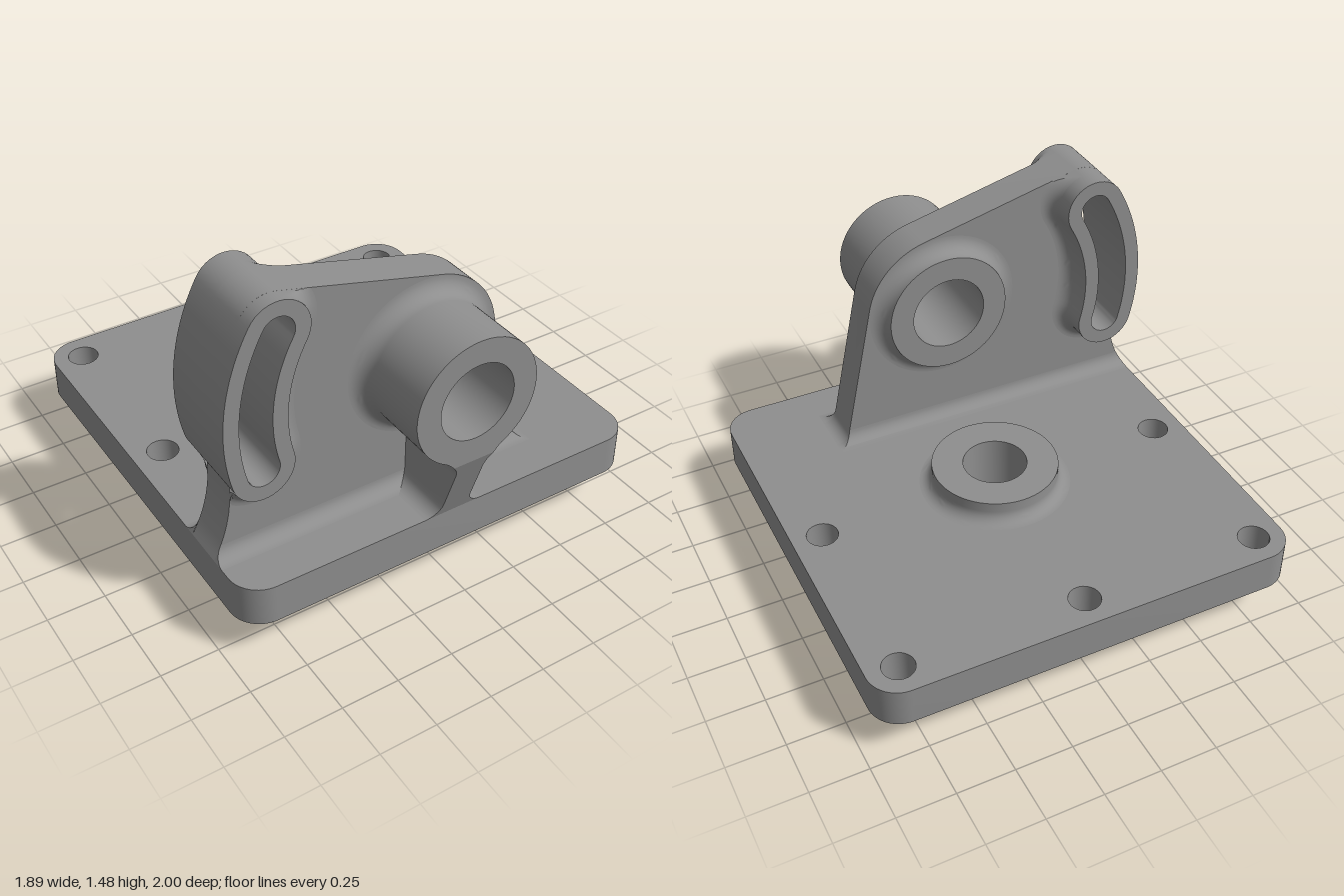
import * as THREE from 'three';
import { toCreasedNormals } from 'three/addons/utils/BufferGeometryUtils.js';

const rad = THREE.MathUtils.degToRad;
const V = (x, y) => new THREE.Vector2(x, y);
const material = new THREE.MeshStandardMaterial({ color: 0x8e8e8e, side: THREE.DoubleSide });

// Points along an arc, angles in degrees
function arc(cx, cy, r, a0, a1, n = 12) {
  return Array.from({ length: n + 1 }, (_, i) => {
    const a = rad(a0 + ((a1 - a0) * i) / n);
    return V(cx + r * Math.cos(a), cy + r * Math.sin(a));
  });
}

function part(name, geometry) {
  const mesh = new THREE.Mesh(toCreasedNormals(geometry, 0.5), material);
  mesh.name = name;
  return mesh;
}

function extrude(points, holes, z0, z1) {
  const shape = new THREE.Shape(points);
  shape.holes = holes.map((h) => new THREE.Path(h));
  return new THREE.ExtrudeGeometry(shape, { depth: z1 - z0, bevelEnabled: false }).translate(0, 0, z0);
}

// Surface through rows of 3D points
function surface(rows) {
  const n = rows[0].length, index = [];
  for (let r = 0; r < rows.length - 1; r++) {
    for (let i = 0; i < n - 1; i++) {
      const a = r * n + i, b = a + n;
      index.push(a, a + 1, b, a + 1, b + 1, b);
    }
  }
  const g = new THREE.BufferGeometry().setFromPoints(rows.flat());
  g.setIndex(index);
  g.computeVertexNormals();
  return g;
}

// Pivot axis, and the arc the slot follows around it
const PY = 0.957, SLOT_R = 0.776, A0 = 150.3, A1 = 194.9, WALL = 0.135, TOP = 76.4;
const [upper] = arc(0, PY, SLOT_R, A0, A0, 1);
const [lower] = arc(0, PY, SLOT_R, A1, A1, 1);

function slotLoop(hw) {
  return [
    ...arc(0, PY, SLOT_R + hw, A0, A1, 24),
    ...arc(lower.x, lower.y, hw, A1, A1 + 180, 20).slice(1),
    ...arc(0, PY, SLOT_R - hw, A1, A0, 24).slice(1),
    ...arc(upper.x, upper.y, hw, A0 + 180, A0 + 360, 20).slice(1, -1),
  ];
}

// Slot wall outline widened by f, only where it meets the upright's faces
function flaredLoop(f) {
  const hw = WALL + f;
  const n = V(Math.cos(rad(TOP)), Math.sin(rad(TOP)));
  const bottom = arc(lower.x, lower.y, hw, 213, A1 + 180, 20);
  bottom.forEach((p) => { p.x = Math.max(p.x, -0.864); });
  const top = arc(upper.x, upper.y, hw, A0 + 180, TOP + 360, 16);
  top.forEach((p) => {
    const over = n.x * p.x + n.y * (p.y - PY) - 0.35;
    if (over > 0) p.addScaledVector(n, -over);
  });
  return [...bottom, ...arc(0, PY, SLOT_R - hw, A1, A0, 24), ...top];
}

export function createModel() {
  const group = new THREE.Group();

  // Base plate with rounded corners and bolt holes (drawn with y = -z)
  const corner = 0.135, bx = 0.945, back = 1, front = -0.89;
  const plate = [
    ...arc(bx - corner, back - corner, corner, 0, 90),
    ...arc(-bx + corner, back - corner, corner, 90, 180),
    ...arc(-bx + corner, front + corner, corner, 180, 270),
    ...arc(bx - corner, front + corner, corner, 270, 360),
  ];
  const bolts = [[-0.81, 0.867], [0, 0.867], [0.81, 0.867], [-0.81, 0.057], [0.81, 0.057]];
  const holes = bolts.map(([x, y]) => arc(x, y, 0.068, 360, 0, 32).slice(1));
  holes.push(arc(0, 0.055, 0.2, 360, 0, 32).slice(1));
  group.add(part('basePlate', extrude(plate, holes, 0.178, 0.355).rotateX(-Math.PI / 2)));

  // Vertical boss through the base
  const hub = new THREE.LatheGeometry([
    V(0.14, 0), V(0.443, 0),
    ...arc(0.498, 0.123, 0.055, 180, 90, 8),
    ...arc(0.332, 0.41, 0.055, 270, 180, 8),
    V(0.277, 0.455), V(0.14, 0.455), V(0.14, 0),
  ], 64).translate(0, 0, -0.055);
  group.add(part('baseBoss', hub));

  // Upright bracket plate
  const upright = [
    ...arc(0.537, 0.417, 0.062, 270, 192, 8),
    ...arc(0, PY, 0.35, 12, TOP, 20),
    ...arc(upper.x, upper.y, WALL, TOP, A0, 12),
    ...arc(0, PY, SLOT_R + WALL, A0, A1, 24).slice(1),
    ...arc(lower.x, lower.y, WALL, A1, 213, 4).slice(1),
    ...new THREE.QuadraticBezierCurve(V(-0.863, 0.683), V(-0.86, 0.5), V(-0.945, 0.355)).getPoints(12).slice(1),
  ];
  const uprightHoles = [arc(0, PY, 0.2, 360, 0, 32).slice(1), slotLoop(0.1).reverse()];
  group.add(part('uprightPlate', extrude(upright, uprightHoles, 0.47, 0.645)));

  // Horizontal pivot boss with blended roots
  const pivot = new THREE.LatheGeometry([
    V(0.168, 0.4), V(0.275, 0.4),
    ...arc(0.345, 0.4, 0.07, 180, 90, 10),
    ...arc(0.345, 0.715, 0.07, 270, 180, 10),
    V(0.275, 1), V(0.168, 1), V(0.168, 0.4),
  ], 64).rotateX(Math.PI / 2).translate(0, PY, 0);
  group.add(part('pivotBoss', pivot));

  // Curved slot wall
  group.add(part('slotWall', extrude(slotLoop(WALL), [slotLoop(0.07).reverse()], 0.325, 0.71)));

  // Fillets on both faces: around the slot wall, and along the foot with closed ends
  const R = 0.062;
  for (const [label, side, face] of [['Front', 1, 0.645], ['Back', -1, 0.47]]) {
    const slotRows = [], footRows = [];
    for (const q of arc(R, R, R, 180, 270, 8)) {
      const slotZ = face + side * q.y, footZ = face + side * q.x;
      const y = 0.355 + q.y, left = -0.945 + q.y * 0.5, right = 0.475 + q.x;
      slotRows.push(flaredLoop(q.x).map((p) => new THREE.Vector3(p.x, p.y, slotZ)));
      footRows.push([[left, face], [left, footZ], [right, footZ], [right, face]]
        .map(([x, z]) => new THREE.Vector3(x, y, z)));
    }
    // Turn the strips that would face inward
    (side > 0 ? slotRows : footRows).reverse();
    group.add(part('slotFillet' + label, surface(slotRows)));
    group.add(part('footFillet' + label, surface(footRows)));
  }

  // Rib under the pivot boss: a sloping lower half and a flared upper half
  const mirrored = (pts) => [...pts, ...pts.map((p) => V(-p.x, p.y)).reverse()];
  const flare = new THREE.QuadraticBezierCurve(V(0.065, 0.61), V(0.065, 0.68), V(0.18, 0.75)).getPoints(12);
  const foot = arc(0.135, 0.425, 0.07, 270, 180, 8);
  const rib = extrude(mirrored([...foot, ...flare.slice(0, 7)]), [], 0.6, 1);
  const pos = rib.attributes.position;
  for (let i = 0; i < pos.count; i++) {
    if (pos.getZ(i) > 0.9) pos.setZ(i, 0.89 + ((pos.getY(i) - 0.355) / 0.325) * 0.11);
  }
  group.add(part('supportRib', rib));
  group.add(part('ribFlare', extrude(mirrored(flare.slice(6)), [], 0.6, 1)));

  return group;
}
